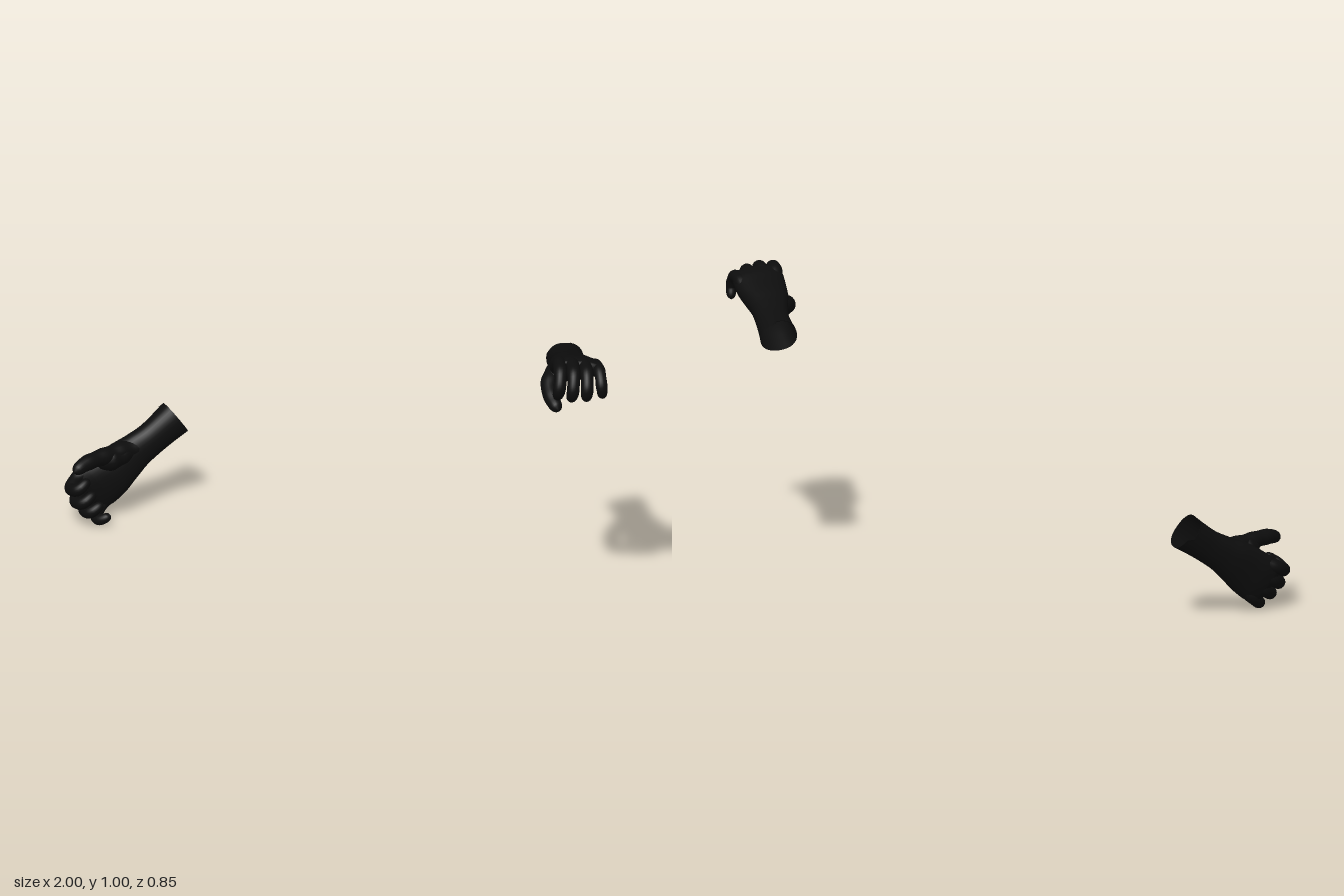
import * as THREE from 'three';

const material = new THREE.MeshStandardMaterial({ color: 0x0d0d0d, side: THREE.DoubleSide });
const SIDES = 20;

// Skin a list of rings (arrays of Vector3) into one smooth surface
function loft(name, rings, flip = false) {
  const pos = [], index = [], n = rings[0].length;
  rings.forEach(ring => ring.forEach(p => pos.push(p.x, p.y, p.z)));
  for (let i = 0; i < rings.length - 1; i++) {
    for (let k = 0; k < n; k++) {
      const a = i * n + k, b = i * n + (k + 1) % n, c = a + n, d = b + n;
      if (flip) index.push(a, d, b, a, c, d);
      else index.push(a, b, d, a, d, c);
    }
  }
  const geo = new THREE.BufferGeometry();
  geo.setAttribute('position', new THREE.Float32BufferAttribute(pos, 3));
  geo.setIndex(index);
  geo.computeVertexNormals();
  const mesh = new THREE.Mesh(geo, material);
  mesh.name = name;
  return mesh;
}

// Tapered digit along a curve, swollen at the joints and rounded at the tip
function digit(name, points, r0, r1, tipLength = 0.14) {
  const curve = new THREE.CatmullRomCurve3(points, false, 'centripetal');
  const steps = 36, frames = curve.computeFrenetFrames(steps), rings = [];
  for (let i = 0; i <= steps; i++) {
    const s = i / steps;
    const tip = Math.max(0, (s - 1 + tipLength) / tipLength);
    let r = THREE.MathUtils.lerp(r0, r1, s) * (1 + 0.04 * Math.cos(s * Math.PI * 8));
    r *= Math.sqrt(Math.max(0.0004, 1 - tip * tip));
    const c = curve.getPointAt(s), ring = [];
    for (let k = 0; k < SIDES; k++) {
      const q = k / SIDES * Math.PI * 2;
      ring.push(c.clone().addScaledVector(frames.normals[i], r * Math.cos(q))
        .addScaledVector(frames.binormals[i], r * Math.sin(q)));
    }
    rings.push(ring);
  }
  return loft(name, rings);
}

// Forearm-to-knuckle stations: along, sideways centre, palm centre, half width, half thickness
const ARM = [
  [0.000, 0.000, 0.000, 0.063, 0.053],
  [0.050, 0.000, 0.000, 0.059, 0.048],
  [0.110, 0.000, 0.000, 0.057, 0.043],
  [0.170, 0.004, 0.000, 0.062, 0.042],
  [0.230, 0.006, 0.002, 0.074, 0.045],
  [0.290, 0.002, 0.000, 0.083, 0.043],
  [0.340, 0.000, -0.007, 0.086, 0.037],
  [0.375, 0.000, -0.012, 0.081, 0.028],
  [0.394, 0.000, -0.014, 0.066, 0.016],
  [0.399, 0.000, -0.014, 0.002, 0.001]
];

function makeHand(name, { wrist, knuckles, thumbSide, right, fingers, thumb }) {
  const group = new THREE.Group();
  group.name = name;

  // Hand frame: d along the arm, t towards the thumb, n out of the palm
  const W = new THREE.Vector3(...wrist);
  const d = new THREE.Vector3(...knuckles).sub(W).normalize();
  const t = new THREE.Vector3(...thumbSide);
  t.addScaledVector(d, -t.dot(d)).normalize();
  const n = right ? t.clone().cross(d) : d.clone().cross(t);
  const P = (a, b, c) => W.clone().addScaledVector(d, a).addScaledVector(t, b).addScaledVector(n, c);

  // Sleeve and palm, open at the wrist; stations are smoothed with a spline
  const spine = new THREE.CatmullRomCurve3(ARM.map(s => new THREE.Vector3(s[0], s[1], s[2])));
  const size = new THREE.CatmullRomCurve3(ARM.map(s => new THREE.Vector3(s[3], s[4], 0)));
  const rings = [], steps = 45;
  for (let i = 0; i <= steps; i++) {
    const c = spine.getPoint(i / steps), h = size.getPoint(i / steps), ring = [];
    for (let k = 0; k < 32; k++) {
      const q = k / 32 * Math.PI * 2, x = Math.cos(q), y = Math.sin(q);
      const square = v => Math.sign(v) * Math.abs(v) ** 0.88;
      // shallow step cut into the rim on the back of the thumb side
      const cut = y < -0.2 && x > -0.1 ? Math.max(0, 0.02 - c.x) : 0;
      ring.push(P(c.x + cut, c.y + h.x * square(x), c.z + h.y * square(y)));
    }
    rings.push(ring);
  }
  group.add(loft('forearmAndPalm', rings, right));

  // Fingers: bent chains of three bones starting inside the palm
  for (const [label, a0, b0, splay, length, bends] of fingers) {
    let a = a0, b = b0, c = -0.014;
    const pts = [P(a0 - 0.07, b0 * 0.78, -0.004), P(a, b, c)];
    bends.forEach((deg, i) => {
      const len = length * [1, 0.82, 0.78][i], q = THREE.MathUtils.degToRad(deg);
      a += len * Math.cos(q);
      c += len * Math.sin(q);
      b += splay;
      pts.push(P(a, b, c));
    });
    const thick = label === 'littleFinger' ? 0.92 : 1;
    group.add(digit(label, pts, 0.026 * thick, 0.019 * thick));
  }

  // Thumb and the fleshy pad joining it to the palm
  group.add(digit('thumb', thumb.map(p => P(...p)), 0.036, 0.023));
  const [, low, mid] = thumb;
  const pad = [[0.13, 0, 0], [0.19, 0.026, 0.012], [low[0], low[1] * 0.75, low[2] * 0.85],
    [mid[0] - 0.005, mid[1] * 0.78, mid[2] * 0.72]];
  group.add(digit('thumbPad', pad.map(p => P(...p)), 0.028, 0.044, 0.3));
  return group;
}

export function createModel() {
  const model = new THREE.Group();
  model.name = 'pairOfHands';

  model.add(makeHand('rightHand', {
    wrist: [-0.675, 0.315, -0.375], knuckles: [-0.93, 0.088, -0.178],
    thumbSide: [-0.11, 0.14, 0.045], right: true,
    fingers: [
      ['indexFinger', 0.38, 0.066, 0.001, 0.063, [40, 108, 184]],
      ['middleFinger', 0.392, 0.022, 0, 0.066, [40, 105, 180]],
      ['ringFinger', 0.388, -0.022, -0.001, 0.063, [38, 100, 172]],
      ['littleFinger', 0.374, -0.066, -0.004, 0.054, [32, 88, 145]]
    ],
    thumb: [[0.17, 0.015, 0.004], [0.245, 0.066, 0.036], [0.31, 0.11, 0.07],
      [0.35, 0.13, 0.09], [0.392, 0.14, 0.11]]
  }));

  model.add(makeHand('leftHand', {
    wrist: [0.758, 0.835, -0.03], knuckles: [0.88, 0.945, 0.29],
    thumbSide: [-0.135, 0.015, 0.046], right: false,
    fingers: [
      ['indexFinger', 0.378, 0.064, 0.001, 0.064, [28, 85, 146]],
      ['middleFinger', 0.388, 0.021, 0, 0.067, [28, 86, 150]],
      ['ringFinger', 0.378, -0.022, -0.003, 0.064, [27, 80, 146]],
      ['littleFinger', 0.352, -0.064, -0.008, 0.058, [22, 74, 132]]
    ],
    thumb: [[0.17, 0.015, 0.004], [0.235, 0.064, 0.032], [0.285, 0.082, 0.073],
      [0.322, 0.072, 0.111], [0.363, 0.054, 0.143]]
  }));

  return model;
}
